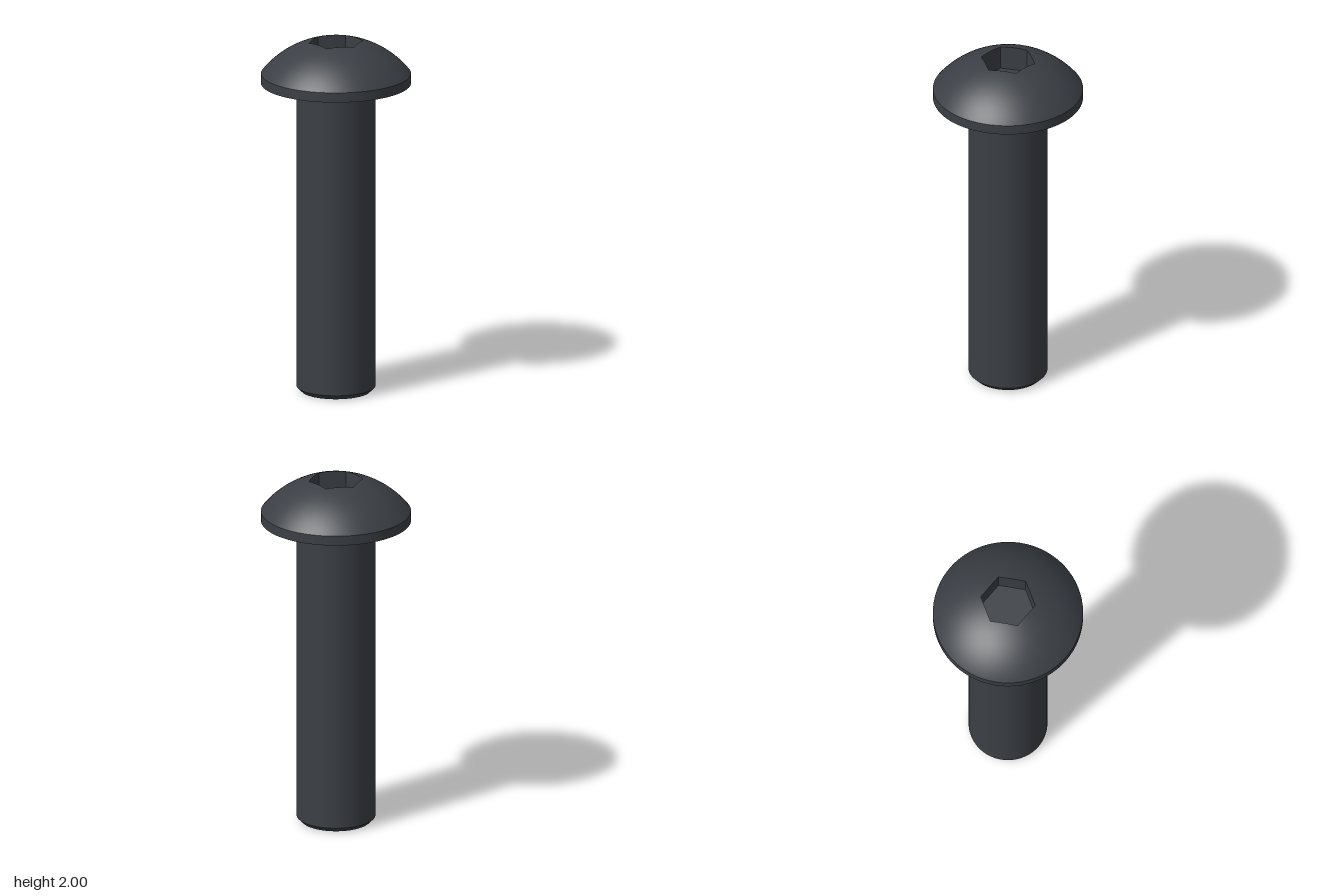
import * as THREE from 'three';

const SEG = 72;
const RIM_R = 0.415, RIM_Y = 1.815, HEAD_Y = 1.76;
const SHANK_R = 0.218, CHAMFER = 0.027;
const DOME_R = 0.528, APOTHEM = 0.132, FLOOR_Y = 1.86;

// Spherical dome that reaches y = 2 at the middle of each socket edge
const DOME_C = 2 - Math.sqrt(DOME_R ** 2 - APOTHEM ** 2);
const domeY = (r) => DOME_C + Math.sqrt(DOME_R ** 2 - r ** 2);

// Distance from the axis to the hexagon's edge, corners on the z axis
const hexRadius = (phi) => {
  const step = Math.PI / 3;
  const a = ((phi % step) + step) % step - step / 2;
  return APOTHEM / Math.cos(a);
};

const lathe = (points) =>
  new THREE.LatheGeometry(points.map(([r, y]) => new THREE.Vector2(r, y)), SEG);

// Lathe grid whose rows are placed by a rule: place(row, phi) -> [radius, y]
function shapedLathe(rows, place) {
  const geo = lathe(Array.from({ length: rows + 1 }, (_, i) => [1, i]));
  const pos = geo.attributes.position;
  for (let i = 0; i < pos.count; i++) {
    const phi = Math.floor(i / (rows + 1)) / SEG * Math.PI * 2;
    const [r, y] = place((i % (rows + 1)) / rows, phi);
    pos.setXYZ(i, r * Math.sin(phi), y, r * Math.cos(phi));
  }
  return geo;
}

export function createModel() {
  const steel = new THREE.MeshStandardMaterial({ color: 0x3b3f45 });
  steel.name = 'dark steel';
  const group = new THREE.Group();
  group.name = 'buttonHeadScrew';
  const add = (name, geo) => {
    const mesh = new THREE.Mesh(geo, steel);
    mesh.name = name;
    group.add(mesh);
  };

  // Shank and rim bands, separate so that their edges stay sharp
  const tip = SHANK_R - CHAMFER;
  add('shankEnd', lathe([[0, 0], [tip, 0]]));
  add('shankChamfer', lathe([[tip, 0], [SHANK_R, CHAMFER]]));
  add('shank', lathe([[SHANK_R, CHAMFER], [SHANK_R, HEAD_Y]]));
  add('headUnderside', lathe([[SHANK_R, HEAD_Y], [RIM_R, HEAD_Y]]));
  add('headRim', lathe([[RIM_R, HEAD_Y], [RIM_R, domeY(RIM_R)]]));

  // Dome running from the round rim to the hexagonal opening
  const dome = shapedLathe(16, (t, phi) => {
    const r = THREE.MathUtils.lerp(RIM_R, hexRadius(phi), t);
    return [r, domeY(r)];
  });
  const p = dome.attributes.position, n = dome.attributes.normal;
  for (let i = 0; i < p.count; i++) {
    n.setXYZ(i, p.getX(i) / DOME_R, (p.getY(i) - DOME_C) / DOME_R, p.getZ(i) / DOME_R);
  }
  add('headDome', dome);

  // Hexagonal socket, its walls facing inward
  const walls = shapedLathe(1, (t, phi) => {
    const r = hexRadius(phi);
    return [r, t === 0 ? domeY(r) : FLOOR_Y];
  }).toNonIndexed();
  walls.computeVertexNormals();
  add('socketWalls', walls);

  const floor = new THREE.CircleGeometry(hexRadius(0), 6);
  floor.rotateX(-Math.PI / 2).rotateY(Math.PI / 2).translate(0, FLOOR_Y, 0);
  add('socketFloor', floor);

  return group;
}
